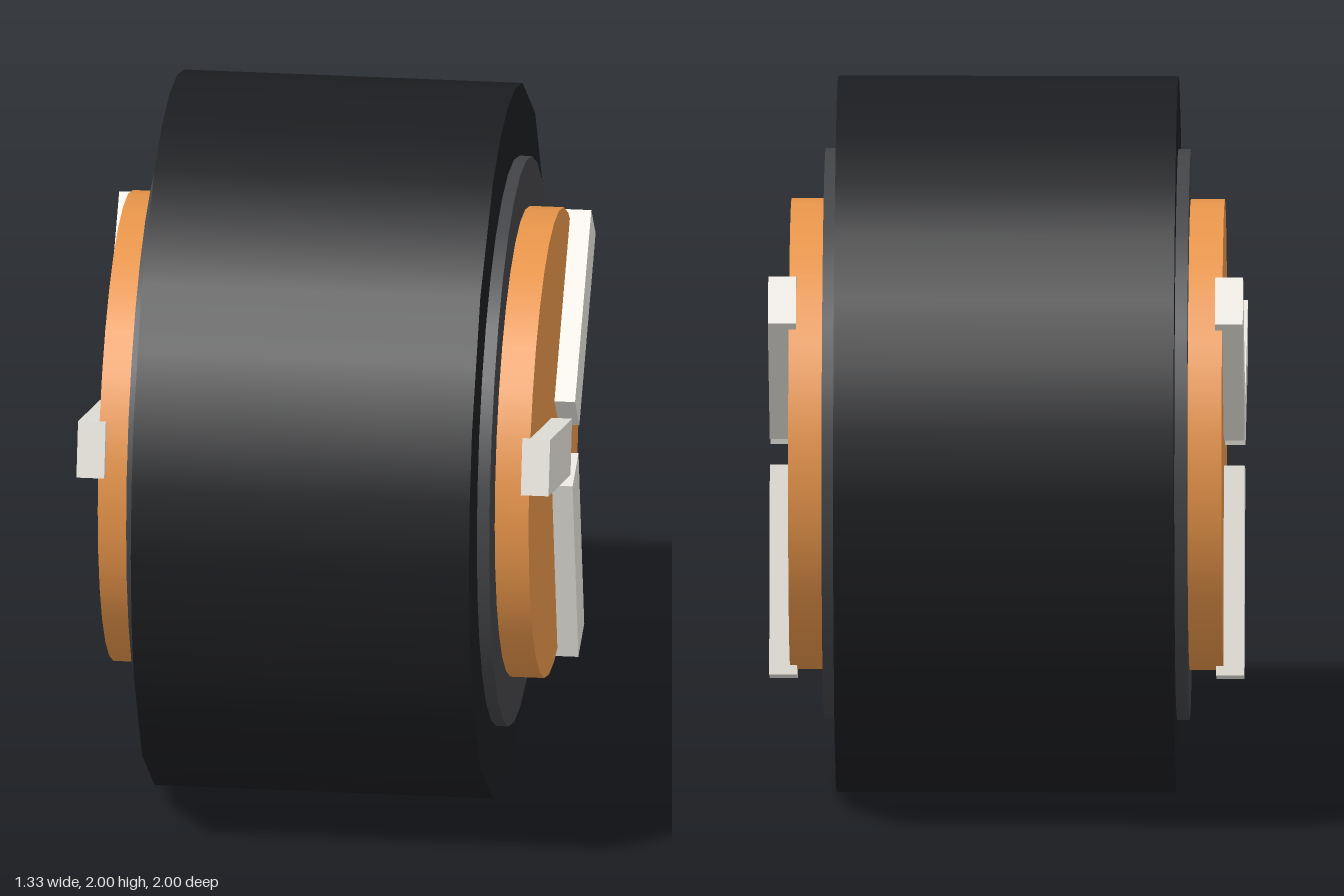
import * as THREE from 'three';

const SIDES = 32;

function paint(color) {
  const m = new THREE.MeshStandardMaterial();
  m.color.set(color);
  return m;
}

// Closed drum lying along the x axis
function drum(name, radius, halfWidth, color) {
  const geometry = new THREE.CylinderGeometry(radius, radius, halfWidth * 2, SIDES);
  geometry.rotateZ(-Math.PI / 2);
  const mesh = new THREE.Mesh(geometry, paint(color));
  mesh.name = name;
  return mesh;
}

export function createModel() {
  const wheel = new THREE.Group();
  wheel.name = 'wheel';

  // Tyre: the corners either side of each diagonal are flattened onto their chord
  const tyre = drum('tyre', 1, 0.475, 0x1c1d20);
  const pos = tyre.geometry.attributes.position;
  for (let i = 0; i < pos.count; i++) {
    const y = pos.getY(i), z = pos.getZ(i);
    if (Math.hypot(y, z) < 0.5) continue;
    const step = (Math.round(Math.atan2(y, z) / (2 * Math.PI) * SIDES) + SIDES) % 8;
    if (step === 3 || step === 5) {
      const k = Math.cos(2 * Math.PI / SIDES);
      pos.setXYZ(i, pos.getX(i), y * k, z * k);
    }
  }

  // Rim and hub pass through the tyre and stand proud on both sides
  const rim = drum('rim', 0.797, 0.51, 0x434447);
  const hub = drum('hub', 0.658, 0.605, 0xe8954a);

  wheel.add(tyre, rim, hub);

  // Three raised spoke bars on each face, mirrored across x
  const bar = new THREE.BoxGeometry(0.078, 0.158, 0.588);
  bar.translate(0, 0, 0.385);
  const barMaterial = paint(0xe6e4dc);
  for (const side of [-1, 1]) {
    const spokes = new THREE.Group();
    spokes.name = side > 0 ? 'leftSpokes' : 'rightSpokes';
    for (let i = 0; i < 3; i++) {
      const spoke = new THREE.Mesh(bar, barMaterial);
      spoke.name = 'spoke';
      spoke.position.x = side * 0.624;
      spoke.rotation.x = -THREE.MathUtils.degToRad(15.5 + i * 120);
      spokes.add(spoke);
    }
    wheel.add(spokes);
  }

  wheel.position.y = 1;
  const model = new THREE.Group();
  model.add(wheel);
  return model;
}
